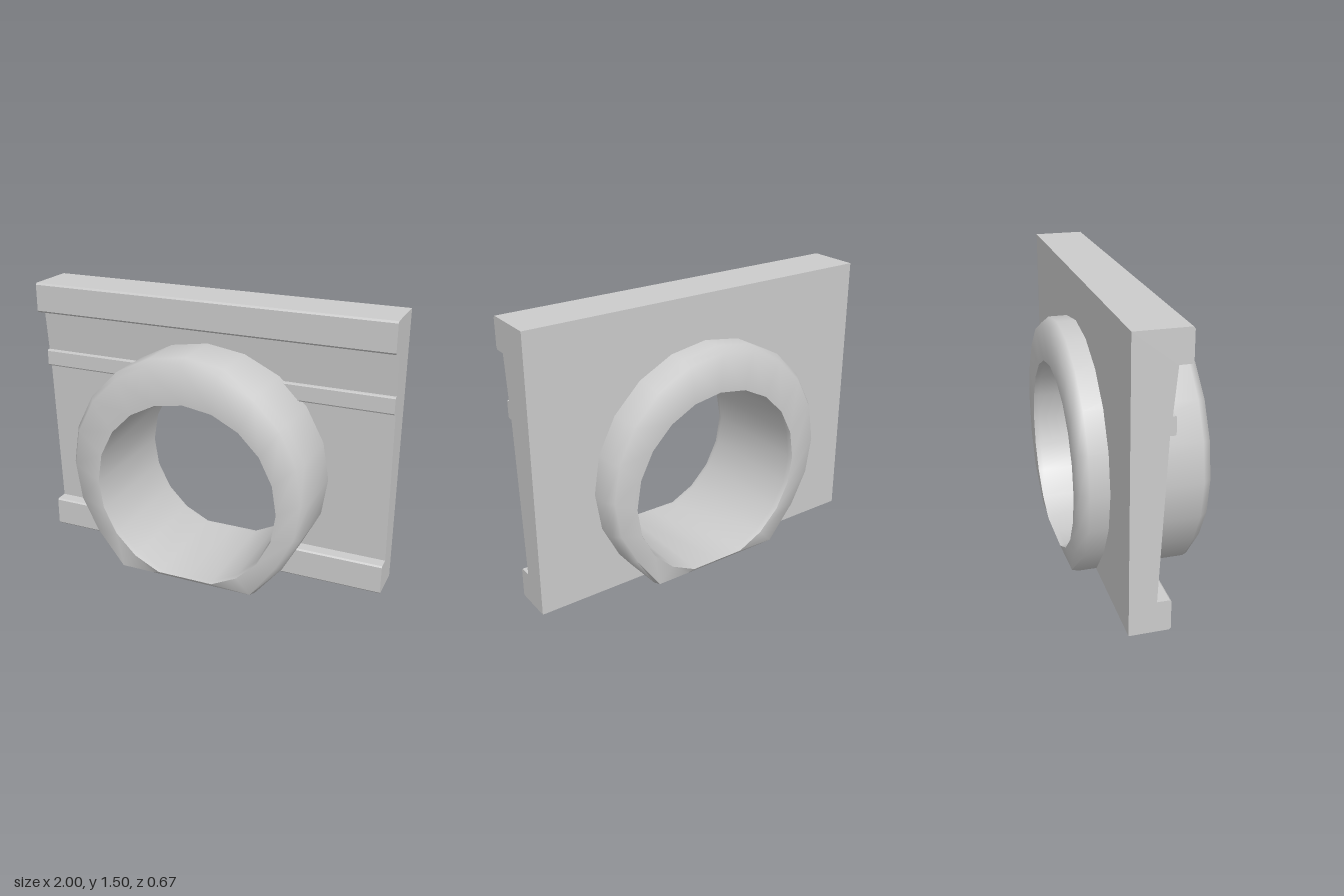
import * as THREE from 'three';
import { toCreasedNormals } from 'three/addons/utils/BufferGeometryUtils.js';

const SIDES = 20;
const material = new THREE.MeshStandardMaterial({ color: 0xcccccc });

function buildGeometry(positions, indices, crease) {
  const g = new THREE.BufferGeometry();
  g.setAttribute('position', new THREE.Float32BufferAttribute(positions, 3));
  g.setIndex(indices);
  return toCreasedNormals(g, crease);
}

// Half width of the opening in the plate; its edge stays buried in the ring
function openingHalfWidth(y) {
  const circle = (v) => Math.sqrt(Math.max(0, 0.59 ** 2 - (v - 0.548) ** 2));
  return y < 0.17 ? THREE.MathUtils.lerp(0.38, circle(0.17), y / 0.17) : circle(y);
}

// Side profile of the plate as [z, y]: up the front, down the back
const profile = [
  [0.012, 0], [0.02, 0.008], [0.02, 0.157], [0.012, 0.165], [-0.052, 0.165],
  [-0.01, 1.015], [0.016, 1.015], [0.02, 1.022], [0.02, 1.1], [0.016, 1.107], [0, 1.107],
  [0.022, 1.34], [0.08, 1.34], [0.09, 1.35], [0.09, 1.495], [0.082, 1.505],
  [-0.19, 1.505], [-0.19, 0],
];

// Half of the plate skin: the profile swept from the opening out to the end
function plateHalf(s) {
  const pos = [], idx = [];
  profile.forEach(([z0, y0], i) => {
    const [z1, y1] = profile[(i + 1) % profile.length];
    const steps = Math.max(1, Math.ceil(Math.abs(y1 - y0) / 0.04));
    for (let k = 0; k <= steps; k++) {
      const y = THREE.MathUtils.lerp(y0, y1, k / steps);
      const z = THREE.MathUtils.lerp(z0, z1, k / steps);
      const a = pos.length / 3;
      pos.push(s * openingHalfWidth(y), y, z, s, y, z);
      if (k === steps) continue;
      if (s > 0) idx.push(a, a + 1, a + 3, a, a + 3, a + 2);
      else idx.push(a, a + 3, a + 1, a, a + 2, a + 3);
    }
  });
  return buildGeometry(pos, idx, 0.3);
}

// Flat end of the plate
function plateEnd(s) {
  const shape = new THREE.Shape(profile.map(([z, y]) => new THREE.Vector2(-s * z, y)));
  return new THREE.ShapeGeometry(shape).rotateY(s * Math.PI / 2).translate(s, 0, 0);
}

// Eccentric ring: bevelled outside, flattened where it meets the ground
function ringGeometry() {
  const bore = (r, z) => ({ r, z, cx: 0, cy: 0.51, floor: 0.025, snap: 0.025 });
  const rim = (r, z) => ({ r, z, cx: -0.005, cy: 0.585, floor: 0.007, snap: 0.07, foot: 0.32 });
  const front = [bore(0.505, 0.305), bore(0.512, 0.333), rim(0.645, 0.333), rim(0.675, 0.29)];
  const back = front.map((p) => ({ ...p, z: -p.z })).reverse();
  const section = [...front, ...back];
  const n = section.length, pos = [], idx = [];
  for (let i = 0; i < SIDES; i++) {
    const t = (i / SIDES) * Math.PI * 2;
    section.forEach((p, j) => {
      let y = p.cy + p.r * Math.sin(t), z = p.z;
      if (y < p.snap) {
        y = p.floor;
        if (p.foot) z = Math.sign(z) * Math.min(Math.abs(z), p.foot);
      }
      pos.push(p.cx + p.r * Math.cos(t), y, z);
      const a = i * n + j, b = i * n + ((j + 1) % n);
      const c = ((i + 1) % SIDES) * n + ((j + 1) % n), d = ((i + 1) % SIDES) * n + j;
      idx.push(a, b, c, a, c, d);
    });
  }
  return buildGeometry(pos, idx, 1.0);
}

export function createModel() {
  const model = new THREE.Group();
  model.name = 'ringPlate';
  const add = (name, geometry) => {
    const mesh = new THREE.Mesh(geometry, material);
    mesh.name = name;
    model.add(mesh);
  };

  for (const [side, s] of [['left', 1], ['right', -1]]) {
    add(side + 'PlateHalf', plateHalf(s));
    add(side + 'PlateEnd', plateEnd(s));
  }
  add('ring', ringGeometry());
  return model;
}
